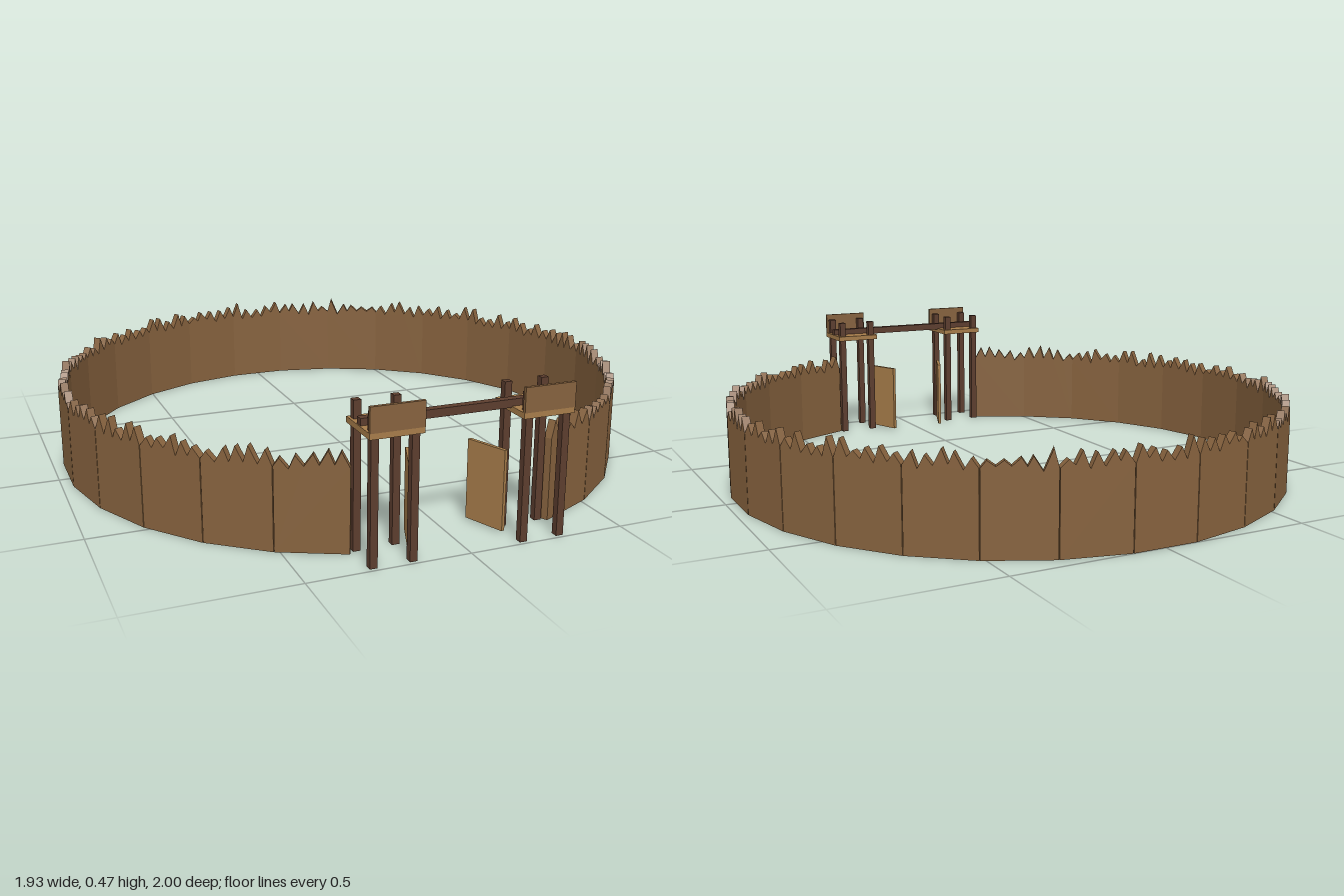
import * as THREE from 'three';

const mat = (name, color) => new THREE.MeshStandardMaterial({ name, color, flatShading: true });

// Small seeded generator for the uneven stake tips
function seeded(seed) {
  let s = seed;
  return () => (s = (s * 16807) % 2147483647) / 2147483647;
}

export function createModel() {
  const model = new THREE.Group();
  model.name = 'palisadeFort';
  const wallWood = mat('wallWood', 0x86623e);
  const darkWood = mat('darkWood', 0x5c3d2e);
  const lightWood = mat('lightWood', 0xa67c4a);

  const box = (name, material, size, pos, parent = model) => {
    const mesh = new THREE.Mesh(new THREE.BoxGeometry(...size), material);
    mesh.name = name;
    mesh.position.set(...pos);
    parent.add(mesh);
    return mesh;
  };

  // Ring wall: 28 flat sides, three left open for the gate
  const SIDES = 28, APOTHEM = 0.952, THICK = 0.025, WIDTH = 0.215, SPIKES = 5, CENTER_Z = -0.035;
  const random = seeded(4711);
  const wall = new THREE.Group();
  wall.name = 'palisadeWall';
  model.add(wall);
  for (let i = 2; i <= SIDES - 2; i++) {
    const shape = new THREE.Shape();
    const step = WIDTH / SPIKES;
    shape.moveTo(-WIDTH / 2, 0);
    shape.lineTo(WIDTH / 2, 0);
    shape.lineTo(WIDTH / 2, 0.26);
    for (let k = 0; k < SPIKES; k++) {
      const right = WIDTH / 2 - k * step;
      shape.lineTo(right - step * (0.35 + 0.3 * random()), 0.28 + 0.038 * random());
      shape.lineTo(right - step, k === SPIKES - 1 ? 0.26 : 0.25 + 0.02 * random());
    }
    const geometry = new THREE.ExtrudeGeometry(shape, { depth: THICK, bevelEnabled: false });
    geometry.translate(0, 0, APOTHEM - THICK / 2);
    const panel = new THREE.Mesh(geometry, wallWood);
    panel.name = 'wallPanel';
    panel.position.z = CENTER_Z;
    panel.rotation.y = (i / SIDES) * Math.PI * 2;
    wall.add(panel);
  }

  // Gate towers and open doors, mirrored left and right
  for (const side of [-1, 1]) {
    const tower = new THREE.Group();
    tower.name = side > 0 ? 'leftTower' : 'rightTower';
    model.add(tower);
    for (const x of [0.175, 0.296])
      for (const z of [0.856, 0.977])
        box('towerPost', darkWood, [0.023, 0.45, 0.023], [side * x, 0.225, z], tower);
    box('platform', lightWood, [0.163, 0.018, 0.163], [side * 0.234, 0.387, 0.916], tower);
    box('frontBoard', wallWood, [0.163, 0.075, 0.011], [side * 0.234, 0.4335, 0.9945], tower);

    const door = new THREE.Group();
    door.name = side > 0 ? 'leftDoor' : 'rightDoor';
    door.position.set(side * 0.152, 0, 0.91);
    door.rotation.y = side * Math.atan2(0.05, 0.13);
    box('doorLeaf', lightWood, [0.012, 0.252, 0.14], [0, 0.132, -0.07], door);
    model.add(door);
  }

  // Beam across the gateway
  box('gateBeam', darkWood, [0.625, 0.025, 0.025], [0, 0.4045, 0.916]);
  return model;
}
